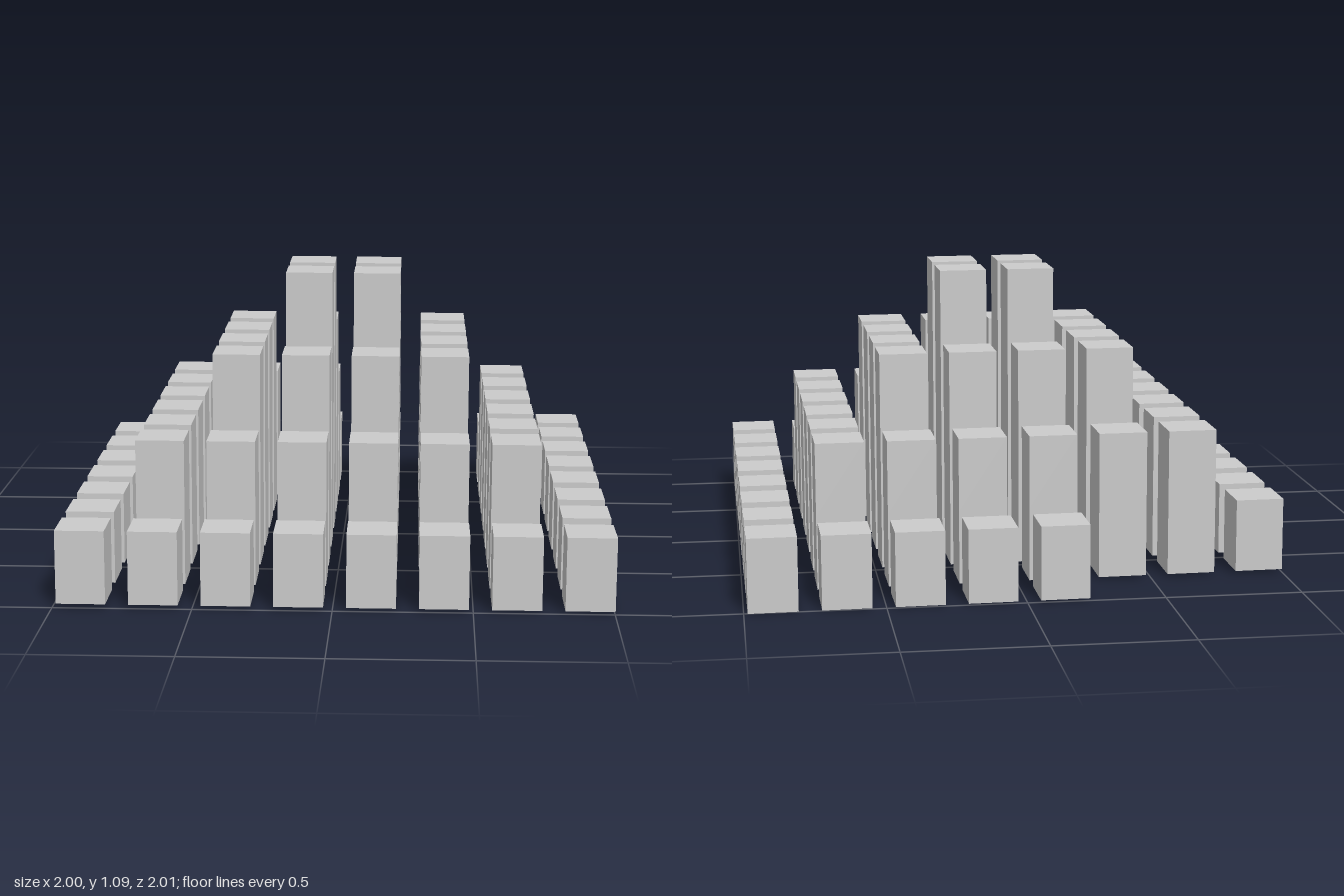
import * as THREE from 'three';

const PITCH = 0.2588;   // spacing between block centres
const WIDTH = 0.177;    // block footprint
const HEIGHT = 0.27;    // block height, layers sit directly on each other

export function createModel() {
  const model = new THREE.Group();
  model.name = 'steppedPyramid';
  const material = new THREE.MeshStandardMaterial({ color: 0xcccccc, flatShading: true });
  const block = new THREE.BoxGeometry(WIDTH, HEIGHT, WIDTH);

  // the whole stack leans and turns very slightly
  const stack = new THREE.Group();
  stack.name = 'blockStack';
  stack.position.y = 0.007;
  stack.rotation.set(-0.003, 0.0085, -0.005);
  model.add(stack);

  // square layers of 8, 6, 4 and 2 blocks a side
  [8, 6, 4, 2].forEach((count, level) => {
    const layer = new THREE.Group();
    layer.name = `layer${level + 1}`;
    for (let row = 0; row < count; row++) {
      for (let col = 0; col < count; col++) {
        // the back row of the base lacks its three rightmost blocks (-x)
        if (level === 0 && row === 0 && col < 3) continue;
        const mesh = new THREE.Mesh(block, material);
        mesh.name = 'block';
        const middle = (count - 1) / 2;
        mesh.position.set((col - middle) * PITCH, (level + 0.5) * HEIGHT, (row - middle) * PITCH);
        layer.add(mesh);
      }
    }
    stack.add(layer);
  });

  return model;
}
